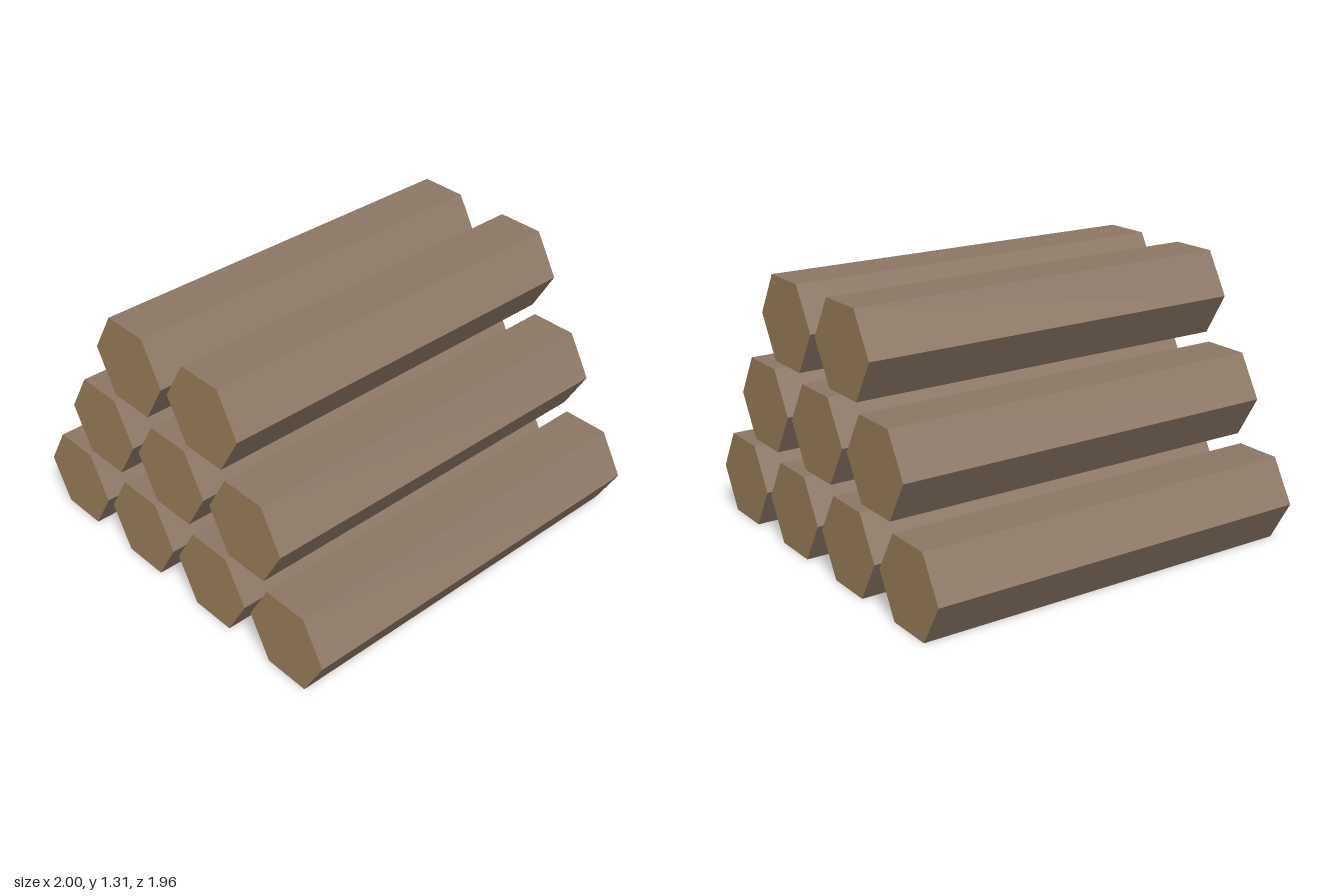
import * as THREE from 'three';

export function createModel() {
  const model = new THREE.Group();
  model.name = 'logPile';

  const bark = new THREE.MeshStandardMaterial({ color: 0x8d7866, flatShading: true });
  bark.name = 'bark';
  const cutWood = new THREE.MeshStandardMaterial({ color: 0xa68860, flatShading: true });
  cutWood.name = 'cutWood';

  const radius = 0.2345;
  const apothem = radius * Math.cos(Math.PI / 6);
  const length = 1.96;
  const spacing = (2 - 2 * radius) / 3;
  const rowHeight = 0.452;

  // Six-sided log lying along z, flat side down
  const logGeometry = new THREE.CylinderGeometry(radius, radius, length, 6, 1, false, Math.PI / 6);
  logGeometry.rotateX(Math.PI / 2);

  // Rows of four, three and two logs, each centred on the one below
  [4, 3, 2].forEach((count, row) => {
    const layer = new THREE.Group();
    layer.name = ['bottomRow', 'middleRow', 'topRow'][row];
    layer.position.y = apothem + row * rowHeight;
    for (let i = 0; i < count; i++) {
      // Side, front end and back end
      const log = new THREE.Mesh(logGeometry, [bark, cutWood, cutWood]);
      log.name = `log${i + 1}`;
      log.position.x = (i - (count - 1) / 2) * spacing;
      layer.add(log);
    }
    model.add(layer);
  });

  return model;
}
